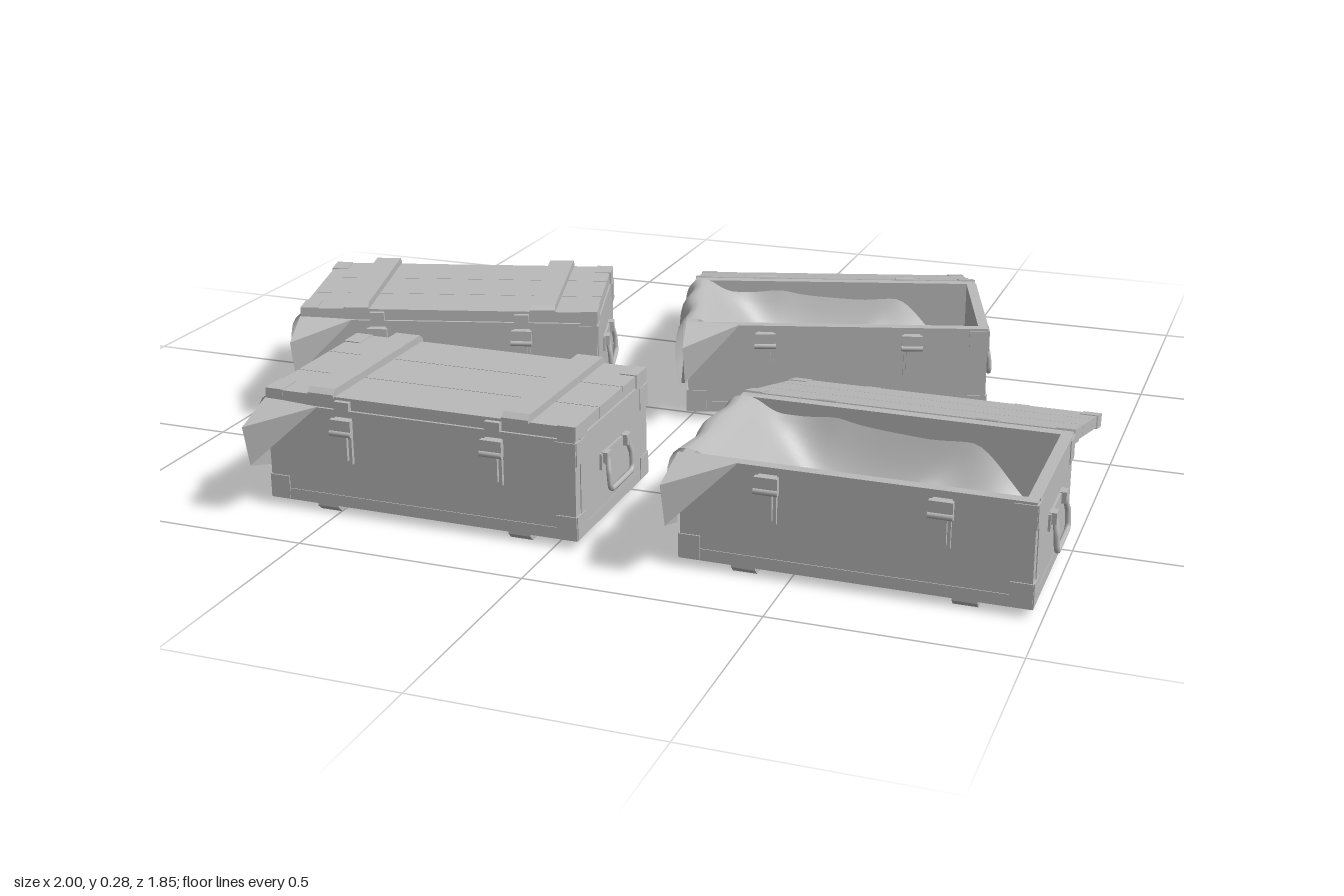
import * as THREE from 'three';

const grey = new THREE.MeshStandardMaterial({ color: 0xbababa, side: THREE.DoubleSide });
grey.name = 'plain grey';

const W = 0.71, D = 0.395, RIM = 0.235, LID = 0.03;
const STRAPS = [-0.22, 0.225], CLASPS = [-0.17, 0.175];

function add(parent, name, geometry, x = 0, y = 0, z = 0) {
  const mesh = new THREE.Mesh(geometry, grey);
  mesh.name = name;
  mesh.position.set(x, y, z);
  parent.add(mesh);
  return mesh;
}
const box = (parent, name, w, h, d, x, y, z) => add(parent, name, new THREE.BoxGeometry(w, h, d), x, y, z);

// Batten running front to back, with bevelled ends
function batten(width, height, length) {
  const l = length / 2, s = new THREE.Shape();
  s.moveTo(-l, 0);
  s.lineTo(l, 0);
  s.lineTo(l, height * 0.4);
  s.lineTo(l - 0.012, height);
  s.lineTo(-l + 0.012, height);
  s.lineTo(-l, height * 0.4);
  const g = new THREE.ExtrudeGeometry(s, { depth: width, bevelEnabled: false });
  return g.translate(0, 0, -width / 2).rotateY(Math.PI / 2);
}

// Cloth laid in the box, over the left rim and down the outside
function clothGeometry() {
  const path = new THREE.CatmullRomCurve3([
    [-0.368, 0.07], [-0.378, 0.15], [-0.37, 0.225], [-0.35, 0.247], [-0.322, 0.24],
    [-0.25, 0.17], [-0.15, 0.09], [0.05, 0.06], [0.325, 0.045],
  ].map(([x, y]) => new THREE.Vector3(x, y, 0)));
  const fold = (x, z, x0, z0, angle, len, wid) => {
    const c = Math.cos(angle), s = Math.sin(angle), dx = x - x0, dz = z - z0;
    return Math.exp(-(((dx * c + dz * s) / len) ** 2) - ((-dx * s + dz * c) / wid) ** 2);
  };
  const g = new THREE.PlaneGeometry(1, 1, 60, 32);
  const pos = g.attributes.position;
  for (let i = 0; i < pos.count; i++) {
    const t = pos.getX(i) + 0.5, v = 0.5 - pos.getY(i);
    const p = path.getPointAt(t);
    const inside = THREE.MathUtils.smoothstep(p.x, -0.32, -0.12);
    const over = THREE.MathUtils.smoothstep(p.x, -0.37, -0.3);
    const z = THREE.MathUtils.lerp(-0.13 + v * 0.32, -0.17 + v * 0.34, over);
    const back = Math.max(0, 1 - v / 0.28) ** 2 * (1 - THREE.MathUtils.smoothstep(p.x, 0.15, 0.33));
    const lift = 0.13 * back + 0.05 * fold(p.x, z, -0.02, -0.05, -0.55, 0.18, 0.035)
      + 0.04 * fold(p.x, z, 0.14, 0.05, 0.9, 0.09, 0.018)
      + 0.03 * fold(p.x, z, -0.17, 0.15, -0.2, 0.1, 0.03);
    const bulge = (1 - over) * 0.006 * Math.sin(v * 11);
    pos.setXYZ(i, p.x + bulge, p.y + lift * inside, z);
  }
  g.computeVertexNormals();
  return g;
}

// Loose cloth corner sticking out past the front left edge
function clothCornerGeometry() {
  const inner = [-0.23, 0.238, 0.2], rim = [-0.357, 0.243, 0.196];
  const tip = [-0.362, 0.205, 0.285], low = [-0.357, 0.115, 0.272], end = [-0.372, 0.075, 0.16];
  const g = new THREE.BufferGeometry();
  g.setAttribute('position', new THREE.Float32BufferAttribute([
    inner, rim, tip, inner, tip, low, rim, end, low, rim, low, tip,
  ].flat(), 3));
  g.computeVertexNormals();
  return g;
}

// Folding carry handle on the right end
function addHandle(crate) {
  const handle = new THREE.Group();
  handle.name = 'handle';
  handle.position.set(W / 2, 0.125, 0);
  box(handle, 'handlePlate', 0.006, 0.035, 0.15, 0.002, 0.02, 0);
  for (const s of [-1, 1]) box(handle, 'handleBracket', 0.016, 0.024, 0.025, 0.007, 0.027, s * 0.055);
  const bail = new THREE.CatmullRomCurve3([
    [0.01, 0.025, -0.055], [0.016, -0.005, -0.063], [0.018, -0.035, -0.062], [0.018, -0.045, -0.05],
    [0.018, -0.045, 0.05], [0.018, -0.035, 0.062], [0.016, -0.005, 0.063], [0.01, 0.025, 0.055],
  ].map((p) => new THREE.Vector3(...p)), false, 'catmullrom', 0.2);
  add(handle, 'handleBail', new THREE.TubeGeometry(bail, 40, 0.006, 8));
  crate.add(handle);
}

function addClasp(crate, x) {
  const clasp = new THREE.Group();
  clasp.name = 'clasp';
  clasp.position.set(x, 0, D / 2);
  box(clasp, 'claspPlate', 0.038, 0.1, 0.008, 0, 0.17, 0.004);
  box(clasp, 'claspLever', 0.026, 0.07, 0.008, 0, 0.165, 0.014);
  box(clasp, 'claspHook', 0.048, 0.03, 0.012, 0, 0.205, 0.014);
  const pin = add(clasp, 'claspPin', new THREE.CylinderGeometry(0.007, 0.007, 0.05, 12), 0, 0.19, 0.017);
  pin.rotation.z = Math.PI / 2;
  crate.add(clasp);
}

// Lid in a frame with its origin on the hinge line
function buildLid() {
  const lid = new THREE.Group();
  lid.name = 'lid';
  const plank = D / 3;
  for (let i = 0; i < 3; i++) {
    box(lid, 'lidPlank', W - 0.006, LID - 0.004, plank - 0.002, 0, LID / 2, plank * (i + 0.5));
  }
  box(lid, 'lidCore', W - 0.012, LID - 0.008, D - 0.01, 0, LID / 2, D / 2);
  for (const x of STRAPS) add(lid, 'lidBatten', batten(0.06, 0.017, D + 0.012), x, LID - 0.003, D / 2);
  for (const x of CLASPS) box(lid, 'lidCatch', 0.034, 0.02, 0.012, x, 0.012, D + 0.004);
  // Corner plates
  for (const sx of [-1, 1]) for (const z of [0.03, D - 0.03]) {
    box(lid, 'lidCorner', 0.04, LID, 0.06, sx * (W / 2 - 0.02), LID / 2, z);
  }
  return lid;
}

function buildCrate(name, x, z, turn, open) {
  const crate = new THREE.Group();
  crate.name = name;
  crate.position.set(x, 0, z);
  crate.rotation.y = turn;

  // Open box of boards
  const wall = 0.024, h = RIM - 0.018, y = 0.018 + h / 2;
  box(crate, 'floor', W - 0.01, 0.022, D - 0.01, 0, 0.029, 0);
  for (const s of [-1, 1]) {
    box(crate, 'longWall', W - 0.004, h, wall, 0, y, s * (D - wall) / 2);
    box(crate, 'endWall', wall, h, D - 2 * wall, s * (W - wall) / 2, y, 0);
    box(crate, 'longSkirt', W, 0.025, 0.006, 0, 0.03, s * (D / 2 - 0.001));
    box(crate, 'endSkirt', 0.006, 0.025, D, s * (W / 2 - 0.002), 0.03, 0);
    // Corner irons
    for (const t of [-1, 1]) for (const cy of [0.045, RIM - 0.03]) {
      box(crate, 'cornerIronLong', 0.045, 0.05, 0.004, s * (W / 2 - 0.0225), cy, t * (D / 2 + 0.001));
      box(crate, 'cornerIronEnd', 0.004, 0.05, 0.045, s * W / 2, cy, t * (D / 2 - 0.0225));
    }
  }
  for (const sx of STRAPS) {
    const runner = add(crate, 'runner', batten(0.05, 0.02, D), sx, 0.02, 0);
    runner.rotation.z = Math.PI;
  }

  // Hardware
  for (const cx of CLASPS) {
    addClasp(crate, cx);
    box(crate, 'hingeLeaf', 0.036, 0.06, 0.006, cx, RIM - 0.035, -D / 2 - 0.003);
    const pin = add(crate, 'hingePin', new THREE.CylinderGeometry(0.006, 0.006, 0.045, 12), cx, RIM, -D / 2 - 0.006);
    pin.rotation.z = Math.PI / 2;
  }
  addHandle(crate);

  add(crate, 'cloth', clothGeometry());
  add(crate, 'clothCorner', clothCornerGeometry());

  const lid = buildLid();
  lid.position.set(0, RIM, open ? -D / 2 - 0.012 : -D / 2);
  if (open) lid.rotation.x = Math.PI - 0.25;
  crate.add(lid);
  return crate;
}

export function createModel() {
  const model = new THREE.Group();
  model.name = 'crates';
  model.add(
    buildCrate('closedCrateFront', -0.305, 0.637, 0, false),
    buildCrate('openCrateFront', 0.625, 0.637, 0, true),
    buildCrate('closedCrateBack', -0.6, 0.02, 0.29, false),
    buildCrate('openCrateBack', 0.28, -0.255, 0.295, true),
  );
  return model;
}
